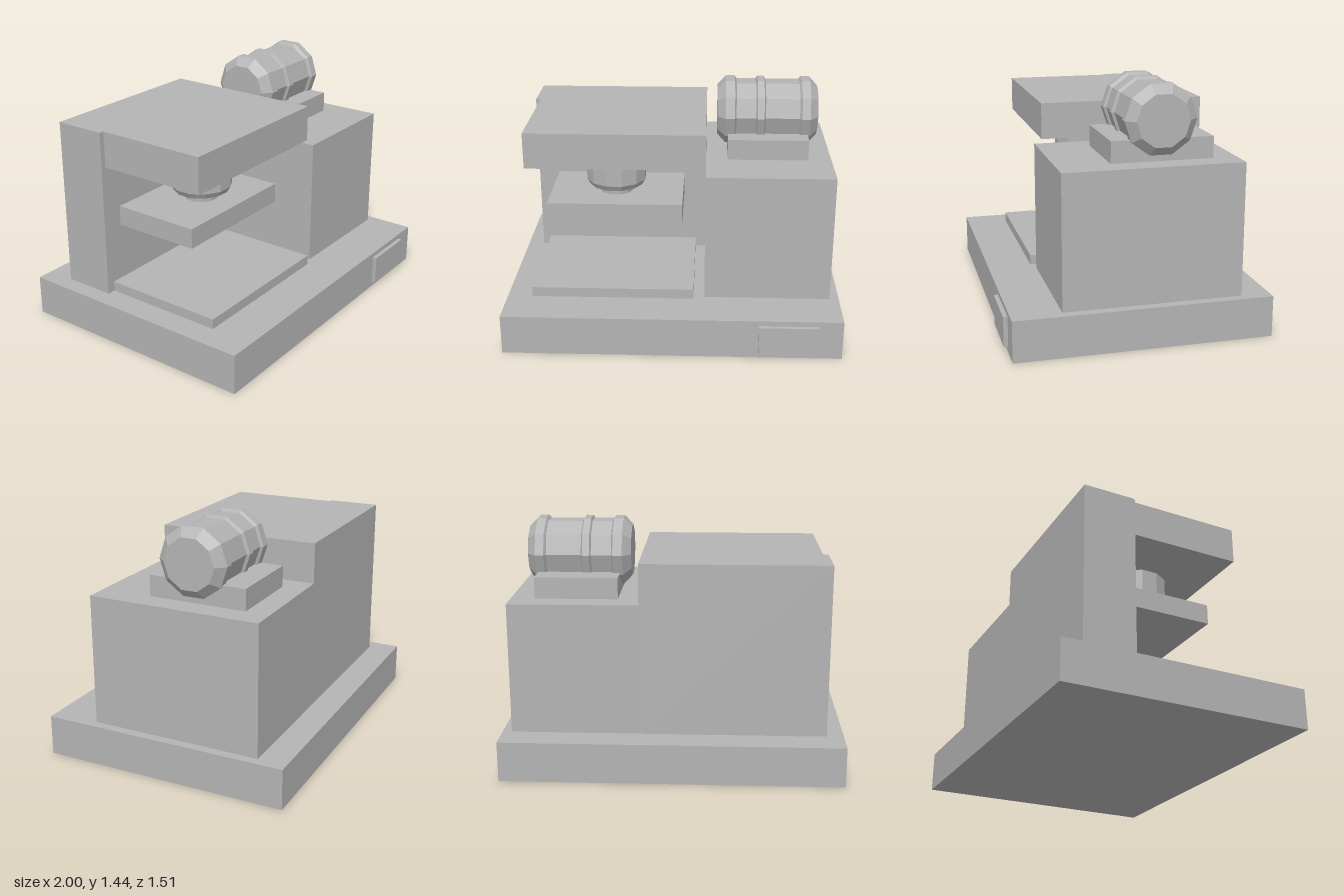
import * as THREE from 'three';

export function createModel() {
  const model = new THREE.Group();
  model.name = 'machineTool';
  const grey = new THREE.MeshStandardMaterial({ color: 0xb4b4b4 });
  grey.name = 'grey';
  grey.flatShading = true;

  function add(name, geometry) {
    const mesh = new THREE.Mesh(geometry, grey);
    mesh.name = name;
    model.add(mesh);
    return mesh;
  }

  // Box given by its limits on each axis
  function box(name, [x0, x1], [y0, y1], [z0, z1]) {
    const mesh = add(name, new THREE.BoxGeometry(x1 - x0, y1 - y0, z1 - z0));
    mesh.position.set((x0 + x1) / 2, (y0 + y1) / 2, (z0 + z1) / 2);
  }

  // Solid of revolution from [radius, height] pairs, bottom to top
  function turned(name, profile, sides, phase = 0) {
    const points = profile.map(([r, y]) => new THREE.Vector2(r, y));
    return add(name, new THREE.LatheGeometry(points, sides, phase));
  }

  // Base and its front plate
  box('base', [-1, 1], [0, 0.24], [-0.76, 0.73]);
  box('frontPlate', [0.51, 0.855], [0.035, 0.21], [0.73, 0.755]);

  // Main housing, rear column and overhanging head
  box('housing', [0.19, 0.945], [0.24, 1.015], [-0.59, 0.445]);
  box('column', [-0.9, 0.19], [0.24, 1.255], [-0.59, -0.275]);
  box('head', [-0.87, 0.19], [1.04, 1.255], [-0.275, 0.4]);

  // Tables carried by the column
  box('lowerTable', [-0.85, 0.125], [0.24, 0.3], [-0.275, 0.47]);
  box('upperTable', [-0.77, 0.05], [0.645, 0.765], [-0.275, 0.265]);

  // Spindle hanging under the head
  const phase = Math.PI / 12;
  turned('spindle', [[0, 0.815], [0.165, 0.815], [0.186, 0.85], [0.186, 1.04]], 12, phase)
    .position.set(-0.365, 0, 0.015);
  turned('spindleNose', [[0.1, 0.765], [0.1, 0.815]], 12, phase)
    .position.set(-0.365, 0, 0.015);

  // Motor on its mount: bevelled end caps and a middle band, axis along x
  box('motorMount', [0.32, 0.805], [1.015, 1.14], [-0.45, 0.14]);
  const core = 0.19, rim = 0.207, end = 0.153;
  const motor = turned('motor', [
    [0, 0.255], [end, 0.255], [rim, 0.305], [rim, 0.36], [core, 0.37],
    [core, 0.488], [rim, 0.497], [rim, 0.538], [core, 0.547],
    [core, 0.752], [rim, 0.765], [rim, 0.815], [end, 0.865], [0, 0.865],
  ], 10);
  motor.rotation.z = -Math.PI / 2;
  motor.position.set(0, 1.248, -0.14);

  return model;
}
